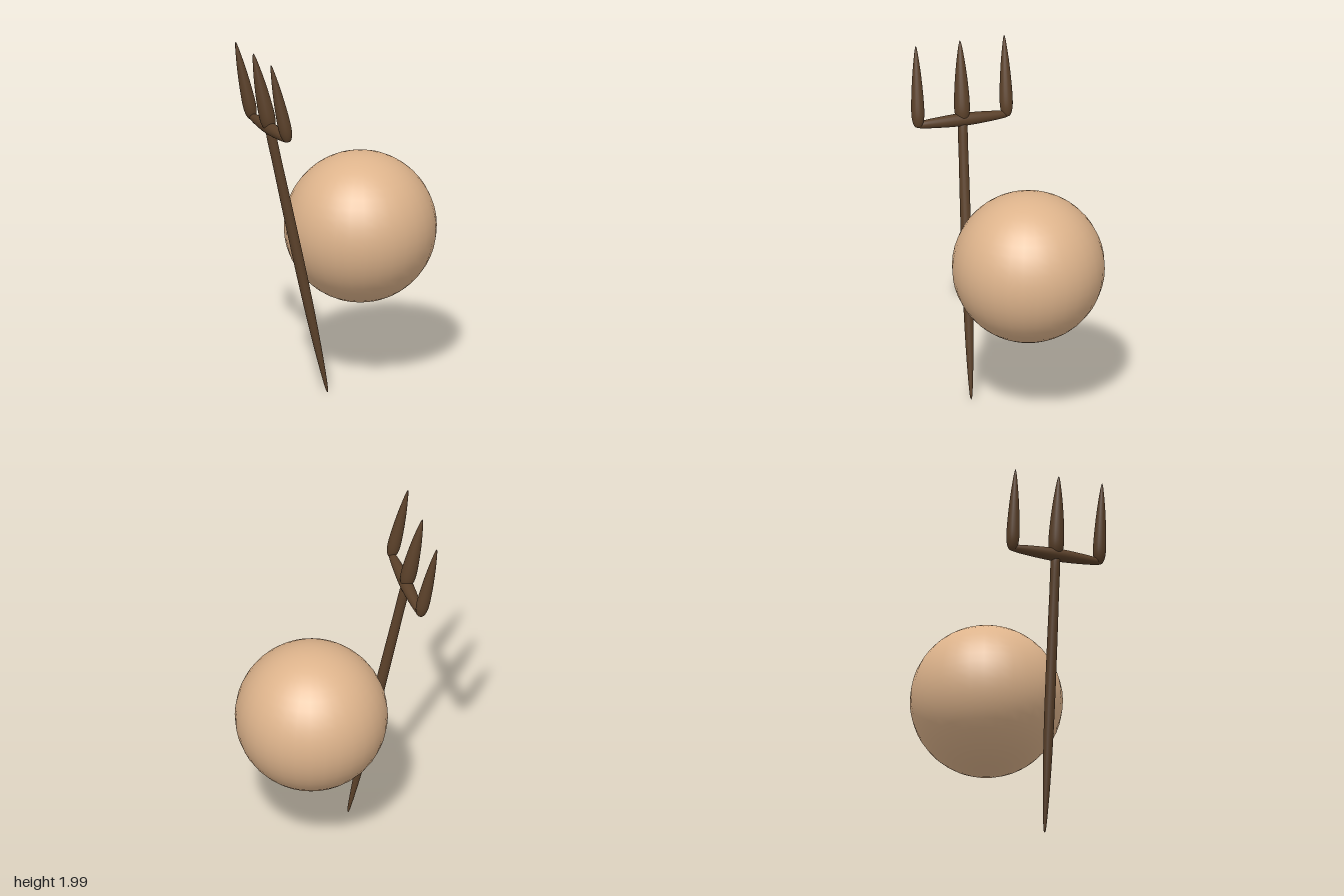
import * as THREE from 'three';

const skin = new THREE.MeshStandardMaterial({ color: 0xdeb48c });
const wood = new THREE.MeshStandardMaterial({ color: 0x5a4029 });

// Smooth turned part: [radius, height] control points spun around y
function turned(name, points, rows = 24) {
  const curve = new THREE.SplineCurve(points.map(([r, y]) => new THREE.Vector2(r, y)));
  const profile = curve.getPoints(rows).map((p) => new THREE.Vector2(Math.max(p.x, 0), p.y));
  const mesh = new THREE.Mesh(new THREE.LatheGeometry(profile, 20), wood);
  mesh.name = name;
  return mesh;
}

export function createModel() {
  const model = new THREE.Group();
  model.name = 'ballAndTrident';

  const ball = new THREE.Mesh(new THREE.SphereGeometry(0.422, 32, 24), skin);
  ball.name = 'ball';
  ball.position.set(0.125, 0.87, -0.125);
  model.add(ball);

  // Trident is built upright with its foot at the origin, then leaned
  const trident = new THREE.Group();
  trident.name = 'trident';

  trident.add(turned('handle', [
    [0, 0], [0.008, 0.03], [0.018, 0.2], [0.025, 0.42], [0.029, 0.7],
    [0.029, 1.05], [0.027, 1.35], [0.025, 1.56], [0, 1.58],
  ], 40));

  // Spindle-shaped bar, thickest in the middle
  const crossbar = turned('crossbar', [
    [0, -0.285], [0.017, -0.27], [0.029, -0.16], [0.036, 0],
    [0.029, 0.16], [0.017, 0.27], [0, 0.285],
  ]);
  crossbar.rotation.z = -Math.PI / 2;
  crossbar.position.y = 1.575;
  trident.add(crossbar);

  // Three prongs, the middle one a little thicker
  for (const side of [-1, 0, 1]) {
    const prong = turned('prong', [
      [0, 0], [0.02, 0.008], [0.033, 0.045], [0.0365, 0.1], [0.032, 0.2],
      [0.023, 0.31], [0.011, 0.41], [0.004, 0.45], [0, 0.46],
    ], 32);
    const girth = side === 0 ? 1.2 : 1;
    prong.scale.set(girth, 1, girth);
    prong.position.set(side * 0.27, 1.56, 0);
    trident.add(prong);
  }

  // Lean: y follows the handle, x follows the crossbar
  const up = new THREE.Vector3(-0.31, 1.53, 0.07).normalize();
  const across = new THREE.Vector3(0.265, 0.035, 0.47);
  across.addScaledVector(up, -across.dot(up)).normalize();
  const forward = new THREE.Vector3().crossVectors(across, up);
  trident.quaternion.setFromRotationMatrix(new THREE.Matrix4().makeBasis(across, up, forward));
  trident.position.set(-0.01, 0.005, 0.2);
  model.add(trident);

  return model;
}
